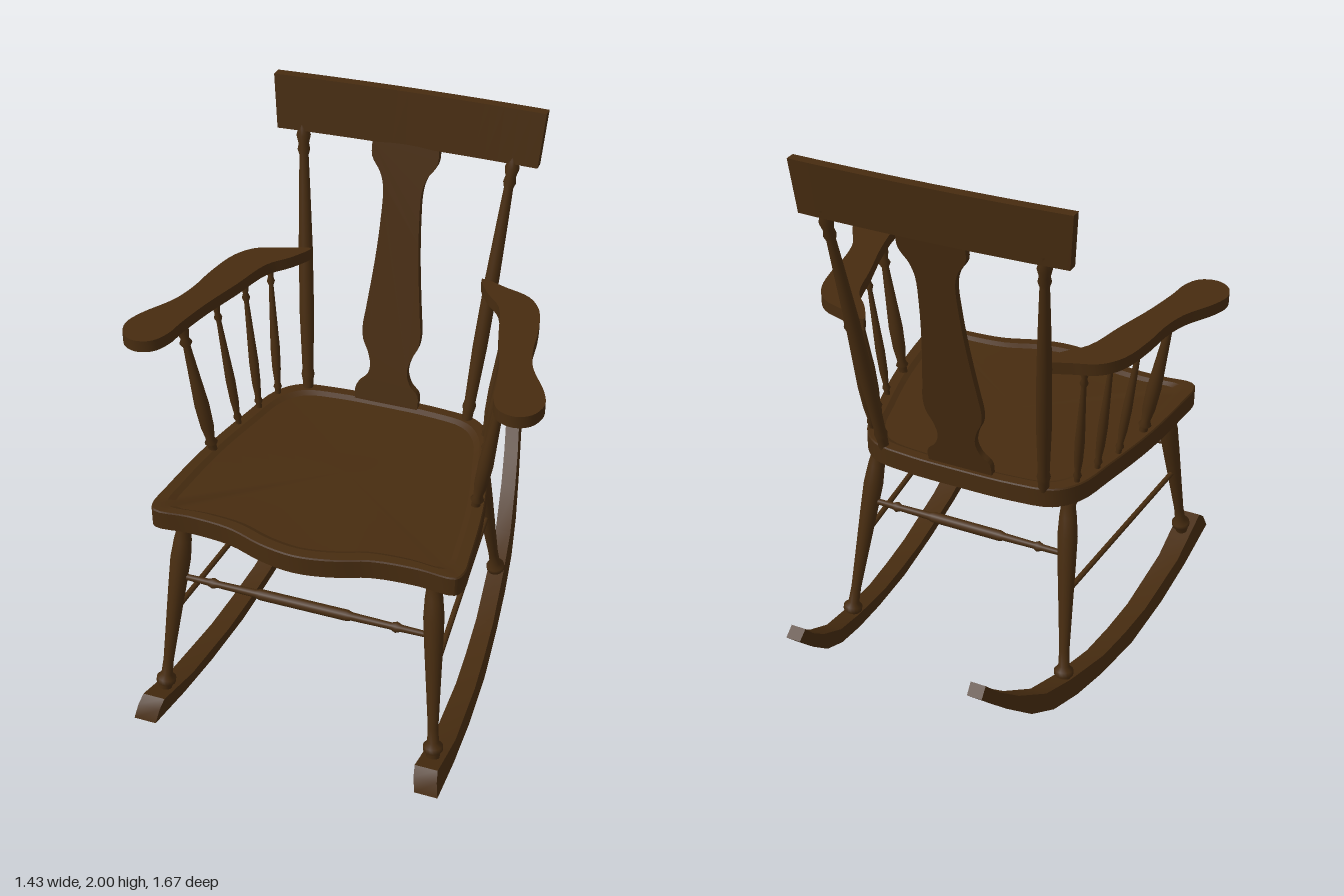
import * as THREE from 'three';
import { toCreasedNormals } from 'three/addons/utils/BufferGeometryUtils.js';

const V = (x, y, z) => new THREE.Vector3(x, y, z);

// Turned profiles: [fraction of length, radius]
const LEG = [[0, 0.022], [0.06, 0.024], [0.075, 0.034], [0.1, 0.034], [0.12, 0.02], [0.2, 0.018], [0.4, 0.024],
  [0.62, 0.031], [0.78, 0.035], [0.88, 0.03], [0.93, 0.025], [0.95, 0.031], [1, 0.026]];
const POST = [[0, 0.018], [0.05, 0.02], [0.07, 0.024], [0.09, 0.02], [0.3, 0.026], [0.55, 0.025], [0.75, 0.02],
  [0.88, 0.016], [0.9, 0.022], [0.92, 0.018], [0.95, 0.025], [0.975, 0.018], [1, 0.018]];
const SPINDLE = [[0, 0.6], [0.07, 0.6], [0.09, 0.9], [0.12, 0.6], [0.22, 0.9], [0.38, 1], [0.6, 0.75],
  [0.83, 0.5], [0.86, 0.85], [0.89, 0.55], [0.94, 0.8], [1, 0.7]];
const FRONT_RAIL = [[0, 0.01], [0.12, 0.012], [0.14, 0.019], [0.16, 0.012], [0.31, 0.014], [0.33, 0.019],
  [0.67, 0.019], [0.69, 0.014], [0.84, 0.012], [0.86, 0.019], [0.88, 0.012], [1, 0.01]];
const ROD = [[0, 0.01], [1, 0.01]];

export function createModel() {
  const wood = new THREE.MeshStandardMaterial({ color: 0x472c10 });
  wood.name = 'dark brown wood';
  const chair = new THREE.Group();
  chair.name = 'rockingChair';

  const add = (name, geometry) => {
    const mesh = new THREE.Mesh(geometry, wood);
    mesh.name = name;
    chair.add(mesh);
    return mesh;
  };

  // Lathe-turned part running from a to b
  const turned = (name, a, b, profile, scale = 1) => {
    const dir = b.clone().sub(a);
    const length = dir.length();
    const points = profile.map(([t, r]) => new THREE.Vector2(r * scale, t * length));
    const mesh = add(name, new THREE.LatheGeometry(points, 16));
    mesh.position.copy(a);
    mesh.quaternion.setFromUnitVectors(V(0, 1, 0), dir.normalize());
  };

  const extrude = (shape, depth) =>
    new THREE.ExtrudeGeometry(shape, { depth, bevelEnabled: false });

  // Seat: loops from the underside up over the rim into a shallow dish
  const half = [[0, -0.265], [0.2, -0.26], [0.34, -0.235], [0.41, -0.16], [0.455, 0], [0.51, 0.25], [0.54, 0.5],
    [0.545, 0.59], [0.525, 0.625], [0.4, 0.62], [0.25, 0.632], [0.12, 0.675], [0, 0.693]];
  const outline = [...half, ...half.slice(1, -1).reverse().map(([x, z]) => [-x, z])];
  const rim = new THREE.CatmullRomCurve3(outline.map(([x, z]) => V(x, 0, z)), true, 'centripetal').getPoints(96);
  rim.pop();
  const cz = 0.2;
  const loops = [[0, 0.8], [1, 0.8], [1, 0.867], [0.993, 0.872], [0.92, 0.872], [0.88, 0.862], [0, 0.86]];
  const pos = [];
  const idx = [];
  const n = rim.length;
  loops.forEach(([s, y], k) => rim.forEach((p, i) => {
    pos.push(p.x * s, y, cz + (p.z - cz) * s);
    if (k === 0) return;
    const j = (i + 1) % n;
    const a = (k - 1) * n + i, b = (k - 1) * n + j, c = k * n + i, d = k * n + j;
    if (k > 1) idx.push(a, d, b);
    if (k < loops.length - 1) idx.push(a, c, d);
  }));
  const seat = new THREE.BufferGeometry();
  seat.setAttribute('position', new THREE.Float32BufferAttribute(pos, 3));
  seat.setIndex(idx);
  add('seat', toCreasedNormals(seat, 0.4));

  // Rocker side profile as (z, y)
  const rockerTop = [[0.79, 0.175], [0.74, 0.158], [0.565, 0.1], [0.27, 0.066], [0.1, 0.07], [-0.07, 0.085],
    [-0.31, 0.145], [-0.47, 0.2], [-0.63, 0.305], [-0.73, 0.39], [-0.8, 0.465]];
  const rockerBottom = [[-0.835, 0.435], [-0.71, 0.31], [-0.575, 0.19], [-0.44, 0.112], [-0.28, 0.062], [-0.1, 0.027],
    [0.14, 0.001], [0.4, 0.016], [0.62, 0.05], [0.84, 0.1], [0.82, 0.15]];
  const rockerShape = new THREE.Shape([...rockerTop, ...rockerBottom].map(([z, y]) => new THREE.Vector2(-z, y)));
  const rockerX = (z, y) => 0.47 + 0.072 * z - 0.167 * y;

  // Arm plan as (x, z)
  const armPlan = [[0.315, -0.315], [0.41, -0.285], [0.5, -0.25], [0.553, -0.18], [0.585, -0.045], [0.598, 0.067],
    [0.625, 0.165], [0.693, 0.285], [0.713, 0.355], [0.69, 0.42], [0.64, 0.445], [0.585, 0.427], [0.553, 0.37],
    [0.54, 0.29], [0.51, 0.155], [0.464, 0], [0.42, -0.155], [0.355, -0.235]];

  // Arm spindles: bottom x, z, top x, z, radius
  const spindles = [[0.475, 0.24, 0.56, 0.255, 0.026], [0.45, 0.07, 0.52, 0.07, 0.017],
    [0.42, -0.045, 0.48, -0.09, 0.017], [0.39, -0.15, 0.44, -0.23, 0.017]];

  for (const [side, s] of [['left', 1], ['right', -1]]) {
    // Rocker splays outward toward the front and leans in as it rises
    const rocker = extrude(rockerShape, 1);
    rocker.translate(0, 0, -0.5).rotateY(Math.PI / 2);
    const p = rocker.attributes.position;
    for (let i = 0; i < p.count; i++) {
      const y = p.getY(i), z = p.getZ(i);
      p.setX(i, s * rockerX(z, y) + p.getX(i) * (0.067 + 0.017 * z));
    }
    add(side + 'Rocker', toCreasedNormals(rocker, 0.5));

    // Legs and side stretcher
    turned(side + 'FrontLeg', V(s * 0.497, 0.12, 0.712), V(s * 0.438, 0.82, 0.565), LEG);
    turned(side + 'BackLeg', V(s * 0.429, 0.1, -0.312), V(s * 0.363, 0.82, -0.152), LEG);
    turned(side + 'SideStretcher', V(s * 0.468, 0.455, 0.64), V(s * 0.397, 0.455, -0.23), ROD);

    // Back post
    turned(side + 'BackPost', V(s * 0.303, 0.85, -0.228), V(s * 0.378, 1.84, -0.425), POST);

    // Arm and its spindles
    const curve = new THREE.CatmullRomCurve3(armPlan.map(([x, z]) => V(s * x, -z, 0)), true, 'centripetal');
    const arm = extrude(new THREE.Shape(curve.getPoints(72).slice(0, -1).map(q => new THREE.Vector2(q.x, q.y))), 0.042);
    arm.rotateX(-Math.PI / 2).translate(0, 1.363, 0);
    add(side + 'Arm', toCreasedNormals(arm, 0.6));
    spindles.forEach(([bx, bz, tx, tz, r], i) =>
      turned(side + 'ArmSpindle' + (i + 1), V(s * bx, 0.85, bz), V(s * tx, 1.375, tz), SPINDLE, r));
  }

  // Cross stretchers
  turned('frontStretcher', V(-0.455, 0.595, 0.611), V(0.455, 0.595, 0.611), FRONT_RAIL);
  turned('backStretcher', V(-0.383, 0.595, -0.202), V(0.383, 0.595, -0.202), FRONT_RAIL);

  // Crest rail: tilted, widening upward and bowed backward
  const crest = new THREE.BoxGeometry(2, 0.19, 0.036, 20, 1, 1);
  const cp = crest.attributes.position;
  for (let i = 0; i < cp.count; i++) {
    const u = cp.getX(i), y = cp.getY(i);
    cp.setXYZ(i, u * (0.472 + 0.08 * y), y + 1.905,
      cp.getZ(i) - 0.427 - 0.11 * y - 0.012 * (1 - u * u));
  }
  crest.computeVertexNormals();
  add('crestRail', crest);

  // Vase-shaped back splat, sheared to follow the posts
  const widths = [[0.86, 0.119], [0.92, 0.117], [0.955, 0.085], [1.0, 0.07], [1.05, 0.08], [1.1, 0.103], [1.15, 0.108],
    [1.22, 0.1], [1.4, 0.08], [1.55, 0.07], [1.66, 0.07], [1.71, 0.085], [1.76, 0.117], [1.83, 0.119]];
  const edge = new THREE.CatmullRomCurve3(widths.map(([y, w]) => V(w, y, 0)), false, 'centripetal').getPoints(52);
  const splatShape = new THREE.Shape([
    ...edge.map(q => new THREE.Vector2(q.x, q.y)),
    ...edge.slice().reverse().map(q => new THREE.Vector2(-q.x, q.y)),
  ]);
  const splat = extrude(splatShape, 0.026);
  const sp = splat.attributes.position;
  for (let i = 0; i < sp.count; i++) sp.setZ(i, sp.getZ(i) - 0.248 - 0.2 * (sp.getY(i) - 0.87));
  add('backSplat', toCreasedNormals(splat, 0.6));

  return chair;
}
